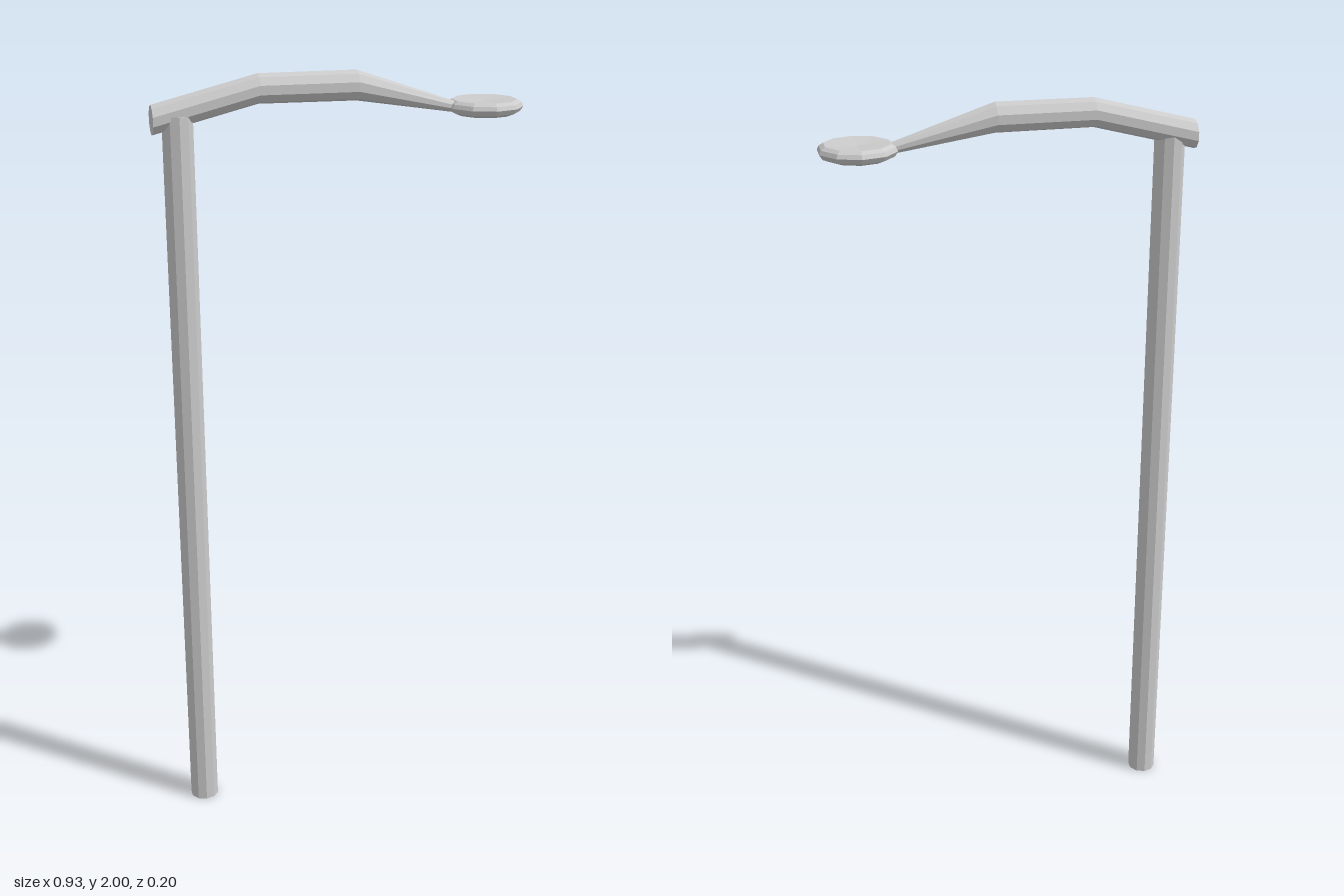
import * as THREE from 'three';

const material = new THREE.MeshStandardMaterial({ color: 0xcccccc, flatShading: true });

function add(group, name, geometry) {
  const mesh = new THREE.Mesh(geometry, material);
  mesh.name = name;
  group.add(mesh);
  return mesh;
}

// Closed tube through upright elliptical sections [x, y, z, halfHeight, halfWidth]
function loft(sections, sides) {
  const pos = [], index = [];
  for (const [x, y, z, h, w] of sections) {
    for (let i = 0; i < sides; i++) {
      const a = (i / sides) * Math.PI * 2;
      pos.push(x, y + Math.cos(a) * h, z + Math.sin(a) * w);
    }
  }
  for (let s = 0; s < sections.length - 1; s++) {
    for (let i = 0; i < sides; i++) {
      const j = (i + 1) % sides;
      const a = s * sides + i, b = s * sides + j;
      index.push(a, b, a + sides, b, b + sides, a + sides);
    }
  }
  // End caps
  const last = (sections.length - 1) * sides;
  for (let i = 1; i < sides - 1; i++) {
    index.push(0, i + 1, i, last, last + i, last + i + 1);
  }
  const g = new THREE.BufferGeometry();
  g.setAttribute('position', new THREE.Float32BufferAttribute(pos, 3));
  g.setIndex(index);
  g.computeVertexNormals();
  return g;
}

export function createModel() {
  const group = new THREE.Group();
  group.name = 'streetLamp';

  // Upright pole
  const pole = add(group, 'pole', new THREE.CylinderGeometry(0.038, 0.038, 1.91, 10));
  pole.position.set(-0.408, 0.955, 0.012);

  // Bent arm, tapering towards the lamp
  add(group, 'arm', loft([
    [-0.47, 1.9, 0.008, 0.036, 0.038],
    [-0.21, 1.964, 0.006, 0.036, 0.038],
    [0.035, 1.963, 0.003, 0.037, 0.038],
    [0.29, 1.901, 0, 0.014, 0.017],
  ], 10));

  // Flat round lamp head with a bevelled rim and slightly dished faces
  const profile = [
    [0, 0.886], [0.07, 0.88], [0.09, 0.888], [0.098, 0.9],
    [0.093, 0.91], [0.082, 0.917], [0, 0.911],
  ].map(([r, y]) => new THREE.Vector2(r, y + 1));
  const head = add(group, 'lampHead', new THREE.LatheGeometry(profile, 10));
  head.position.x = 0.368;

  return group;
}
